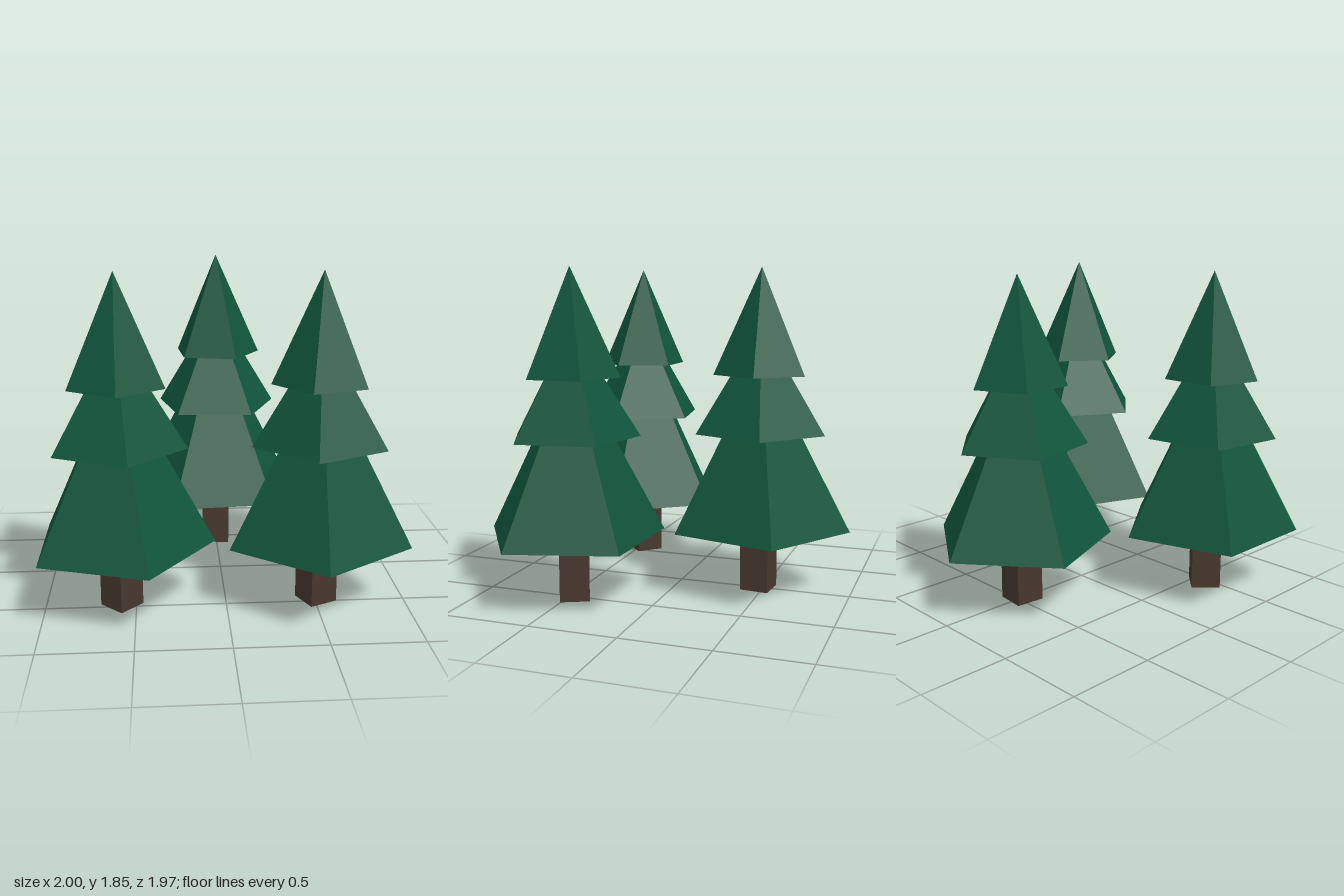
import * as THREE from 'three';

const rad = THREE.MathUtils.degToRad;

// Foliage tiers: base height, height, radius, turn in degrees
const TIERS = [
  { name: 'lowerFoliage', y: 0.365, height: 0.98, radius: 0.52, turn: 90 },
  { name: 'middleFoliage', y: 0.915, height: 0.61, radius: 0.378, turn: 82 },
  { name: 'upperFoliage', y: 1.245, height: 0.6, radius: 0.27, turn: 74 },
];

// Position and yaw of each tree
const TREES = [
  { name: 'rightTree', x: -0.58, z: 0.464, yaw: 0 },
  { name: 'leftTree', x: 0.508, z: 0.464, yaw: -20 },
  { name: 'backTree', x: 0, z: -0.47, yaw: -50.4 },
];

export function createModel() {
  const needles = new THREE.MeshStandardMaterial({ color: 0x10543c, flatShading: true, side: THREE.DoubleSide });
  needles.name = 'needleGreen';
  const bark = new THREE.MeshStandardMaterial({ color: 0x47372f, flatShading: true });
  bark.name = 'barkBrown';

  const model = new THREE.Group();
  model.name = 'pineTrees';

  for (const { name, x, z, yaw } of TREES) {
    const tree = new THREE.Group();
    tree.name = name;
    tree.position.set(x, 0, z);
    tree.rotation.y = rad(yaw);

    // Square trunk reaching up inside the lowest tier
    const trunk = new THREE.Mesh(new THREE.CylinderGeometry(0.117, 0.117, 0.54, 4), bark);
    trunk.name = 'trunk';
    trunk.position.y = 0.27;
    tree.add(trunk);

    // Hollow five-sided cones, each twisted a little from the one below
    for (const t of TIERS) {
      const tier = new THREE.Mesh(new THREE.ConeGeometry(t.radius, t.height, 5, 1, true), needles);
      tier.name = t.name;
      tier.position.y = t.y + t.height / 2;
      tier.rotation.y = rad(t.turn);
      tree.add(tier);
    }
    model.add(tree);
  }
  return model;
}
